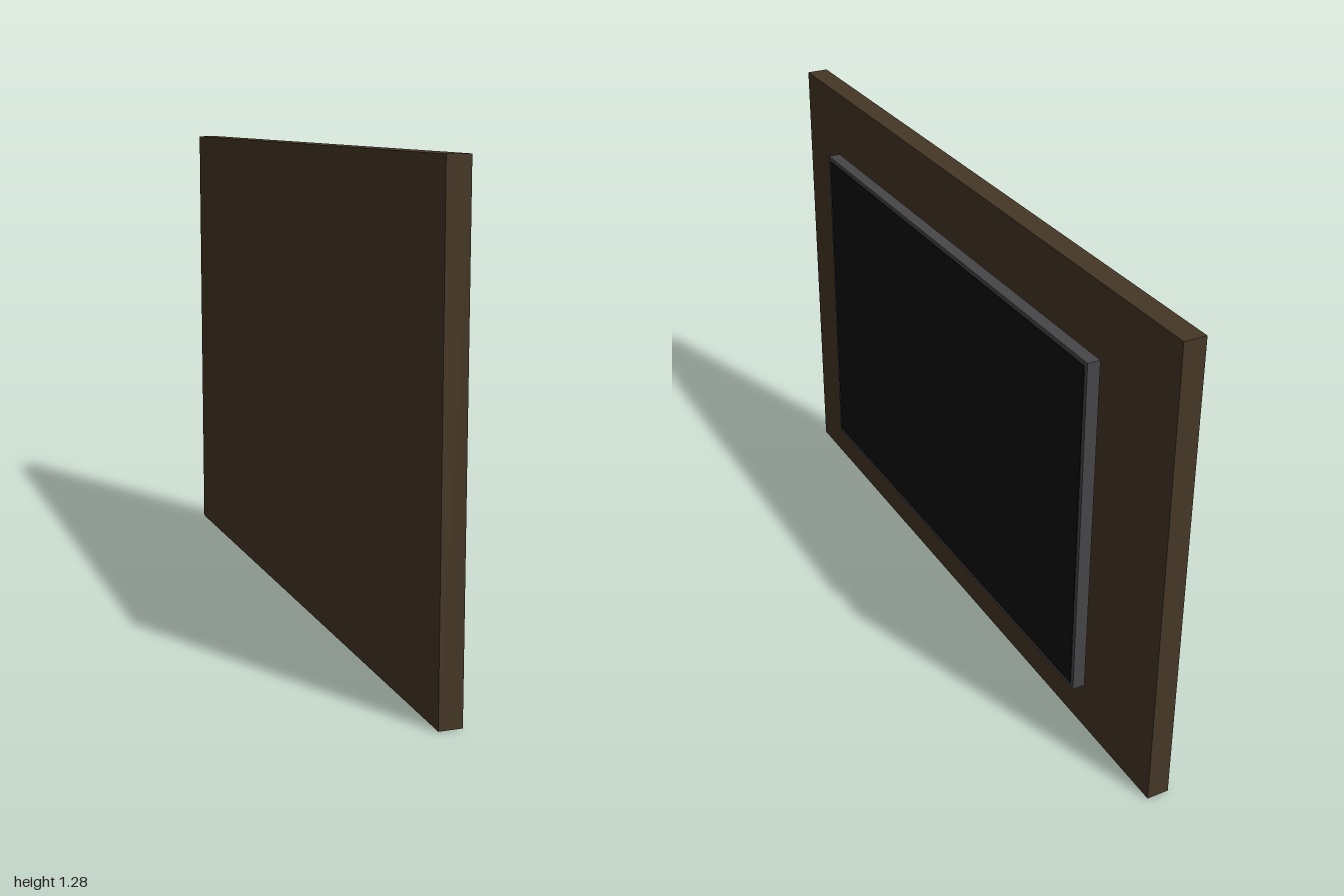
import * as THREE from 'three';

const wood = new THREE.MeshStandardMaterial({ name: 'darkWood', color: 0x453726 });
const casing = new THREE.MeshStandardMaterial({ name: 'greyCasing', color: 0x464648 });
const glass = new THREE.MeshStandardMaterial({ name: 'blackGlass', color: 0x0e0e0e });

const MID_Y = 0.64; // shared centre height of all parts

// Upright slab from x0 to x1, centred on the panel
function slab(name, material, x0, x1, height, depth) {
  const mesh = new THREE.Mesh(new THREE.BoxGeometry(x1 - x0, height, depth), material);
  mesh.name = name;
  mesh.position.set((x0 + x1) / 2, MID_Y, 0);
  return mesh;
}

export function createModel() {
  const model = new THREE.Group();
  model.name = 'wallScreen';

  // Wooden backing panel
  model.add(slab('backPanel', wood, -0.06, 0, 1.28, 2));

  // Flat display standing just off the panel, with a thin dark screen on its face
  const display = new THREE.Group();
  display.name = 'display';
  display.add(slab('displayCasing', casing, 0.024, 0.058, 0.944, 1.454));
  display.add(slab('screen', glass, 0.055, 0.06, 0.92, 1.43));
  model.add(display);

  return model;
}
